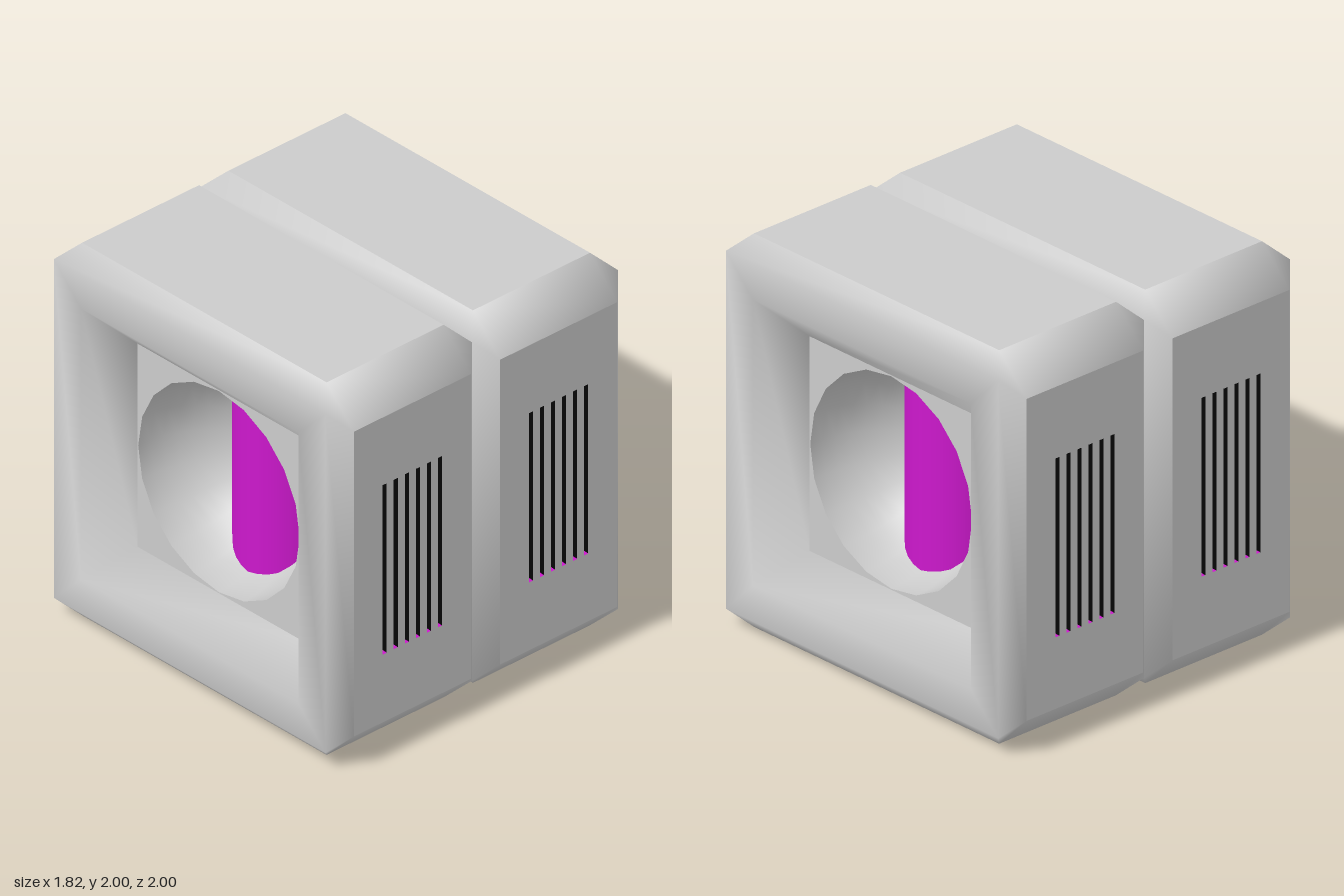
import * as THREE from 'three';
import { mergeVertices } from 'three/addons/utils/BufferGeometryUtils.js';

const U = 1 / 11; // modelling unit: the block is 22 units tall
const grey = new THREE.MeshStandardMaterial({ color: 0xcccccc });
const greyInside = new THREE.MeshStandardMaterial({ color: 0xcccccc, side: THREE.BackSide });
const magenta = new THREE.MeshStandardMaterial({ color: 0xcc18cc });
const magentaInside = new THREE.MeshStandardMaterial({ color: 0xcc18cc, side: THREE.DoubleSide });
const black = new THREE.MeshStandardMaterial({ color: 0x050505, side: THREE.DoubleSide });

function add(parent, name, geometry, material, x = 0, y = 0, z = 0) {
  const mesh = new THREE.Mesh(geometry, material);
  mesh.name = name;
  mesh.position.set(x, y, z);
  parent.add(mesh);
  return mesh;
}

// Eight-point loop across x; each corner is the pair (a, b), (b, a) turned by quarter turns
function loop(x, a, b) {
  const points = [];
  for (let k = 0; k < 4; k++) {
    for (const [p, q] of [[a, b], [b, a]]) {
      const c = [1, 0, -1, 0][k], s = [0, 1, 0, -1][k];
      points.push([x * U, (p * c - q * s) * U, (p * s + q * c) * U]);
    }
  }
  return points;
}

// Soft bevels, side rim and sloping recess walls as one smooth skin
function frameGeometry() {
  const loops = [loop(0, 10, 10), loop(1, 11, 9), loop(9, 11, 9),
    loop(10, 10, 10), loop(10, 8, 8), loop(8, 6, 6)];
  const index = [];
  for (let i = 0; i < loops.length - 1; i++) {
    for (let j = 0; j < 8; j++) {
      if (i === 1 && j % 2) continue; // flat panels fill these gaps
      const n = (j + 1) % 8;
      const a = i * 8 + j, b = i * 8 + n, c = b + 8, d = a + 8;
      index.push(a, b, c, a, c, d);
    }
  }
  let g = new THREE.BufferGeometry();
  g.setAttribute('position', new THREE.Float32BufferAttribute(loops.flat(2), 3));
  g.setIndex(index);
  g = mergeVertices(g);
  g.computeVertexNormals();
  return g;
}

function rectangle(Type, w, h, cx = 0) {
  const p = new Type();
  p.moveTo(cx - w, -h);
  p.lineTo(cx + w, -h);
  p.lineTo(cx + w, h);
  p.lineTo(cx - w, h);
  p.closePath();
  return p;
}

// Slotted panel with six thin half-disc vents
function ventPanel() {
  const group = new THREE.Group();
  group.name = 'ventPanel';
  const w = 0.0125, r = 5 * U;
  const shape = rectangle(THREE.Shape, 4 * U, 9 * U);
  const wall = new THREE.CircleGeometry(r, 24, Math.PI / 2, Math.PI).rotateY(-Math.PI / 2);
  const floor = new THREE.CylinderGeometry(r, r, 2 * w, 24, 1, true, Math.PI / 2, Math.PI)
    .rotateZ(Math.PI / 2);
  for (let i = 0; i < 6; i++) {
    const x = (i - 2.5) * 0.0685;
    shape.holes.push(rectangle(THREE.Path, w, r, x));
    add(group, 'ventFloor', floor, magentaInside, x, 0, 1);
    for (const s of [-1, 1]) add(group, 'ventWall', wall, black, x + s * w, 0, 1);
  }
  add(group, 'ventFace', new THREE.ShapeGeometry(shape), grey, 0, 0, 1);
  return group;
}

// One half of the block, on the +x side
function createHalf() {
  const half = new THREE.Group();
  add(half, 'bevelledFrame', frameGeometry(), grey);

  // Flat top and bottom
  for (const s of [1, -1]) {
    const plate = new THREE.PlaneGeometry(8 * U, 18 * U).rotateX(-s * Math.PI / 2);
    add(half, s > 0 ? 'topPanel' : 'bottomPanel', plate, grey, 5 * U, s, 0);
  }

  // Front and back vents
  for (const turn of [0, Math.PI]) {
    const panel = ventPanel();
    panel.position.x = 5 * U;
    panel.rotation.y = turn;
    half.add(panel);
  }

  // Recessed side panel with a round dish
  const r = 0.54;
  const side = rectangle(THREE.Shape, 6 * U, 6 * U);
  side.holes.push(new THREE.Path().absarc(0, 0, r, 0, Math.PI * 2, true));
  add(half, 'sidePanel', new THREE.ShapeGeometry(side, 10).rotateY(Math.PI / 2), grey, 8 * U);
  const dish = new THREE.SphereGeometry(r, 20, 12, 0, Math.PI * 2, Math.PI / 2, Math.PI / 2)
    .rotateZ(-Math.PI / 2);
  add(half, 'dish', dish, greyInside, 8 * U);

  // Upright column bulging out of the dish
  add(half, 'column', new THREE.CylinderGeometry(3 * U, 3 * U, 1.08, 32), magenta, 3 * U);
  return half;
}

export function createModel() {
  const model = new THREE.Group();
  model.name = 'twinBlock';
  for (const [name, turn] of [['leftHalf', 0], ['rightHalf', Math.PI]]) {
    const half = createHalf();
    half.name = name;
    half.position.y = 1;
    half.rotation.y = turn;
    model.add(half);
  }
  return model;
}
